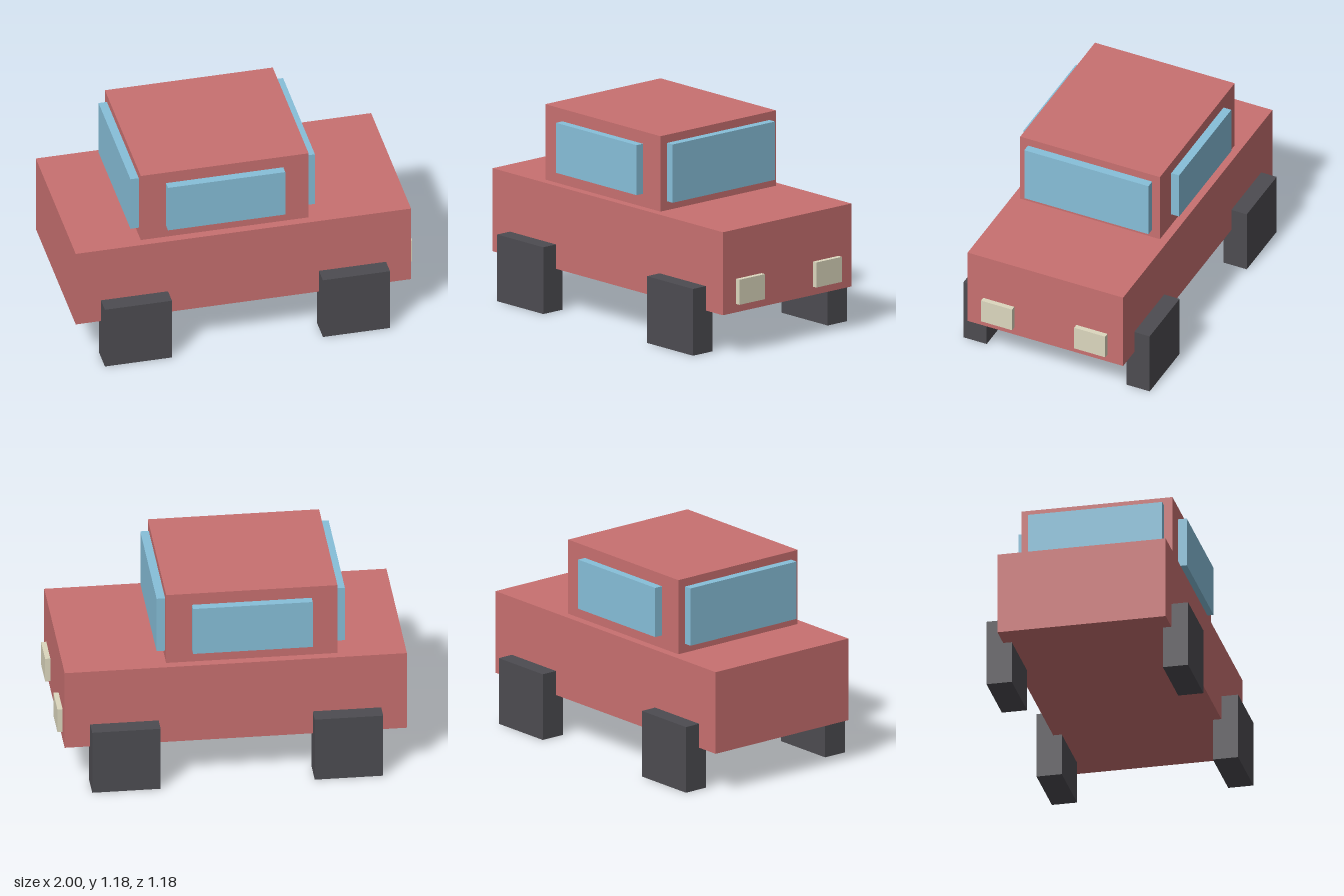
import * as THREE from 'three';

const paint = (color) => new THREE.MeshStandardMaterial({ color, flatShading: true });

export function createModel() {
  const model = new THREE.Group();
  const red = paint(0xc87070), glass = paint(0x87bfd9);
  const rubber = paint(0x4d4c51), cream = paint(0xdcd7be);

  // Box given by its extents along each axis
  function block(name, material, [x0, x1], [y0, y1], [z0, z1]) {
    const mesh = new THREE.Mesh(new THREE.BoxGeometry(x1 - x0, y1 - y0, z1 - z0), material);
    mesh.position.set((x0 + x1) / 2, (y0 + y1) / 2, (z0 + z1) / 2);
    mesh.name = name;
    model.add(mesh);
  }

  // Body and cabin; the car drives towards +x
  block('body', red, [-1, 0.97], [0.25, 0.74], [-0.493, 0.493]);
  block('cabin', red, [-0.606, 0.38], [0.74, 1.185], [-0.443, 0.443]);

  // Windscreen and rear window
  block('windscreen', glass, [0.38, 0.429], [0.793, 1.137], [-0.394, 0.394]);
  block('rearWindow', glass, [-0.655, -0.606], [0.793, 1.137], [-0.394, 0.394]);

  // Parts mirrored on both sides of the car
  for (const [side, s] of [['near', 1], ['far', -1]]) {
    const span = (a, b) => (s > 0 ? [a, b] : [-b, -a]);
    block(side + 'SideWindow', glass, [-0.458, 0.231], [0.817, 1.112], span(0.443, 0.493));
    block(side + 'Headlight', cream, [0.97, 1], [0.3, 0.448], span(0.197, 0.394));
    block(side + 'FrontWheel', rubber, [0.429, 0.823], [0, 0.394], span(0.443, 0.591));
    block(side + 'RearWheel', rubber, [-0.852, -0.458], [0, 0.394], span(0.443, 0.591));
  }
  return model;
}
